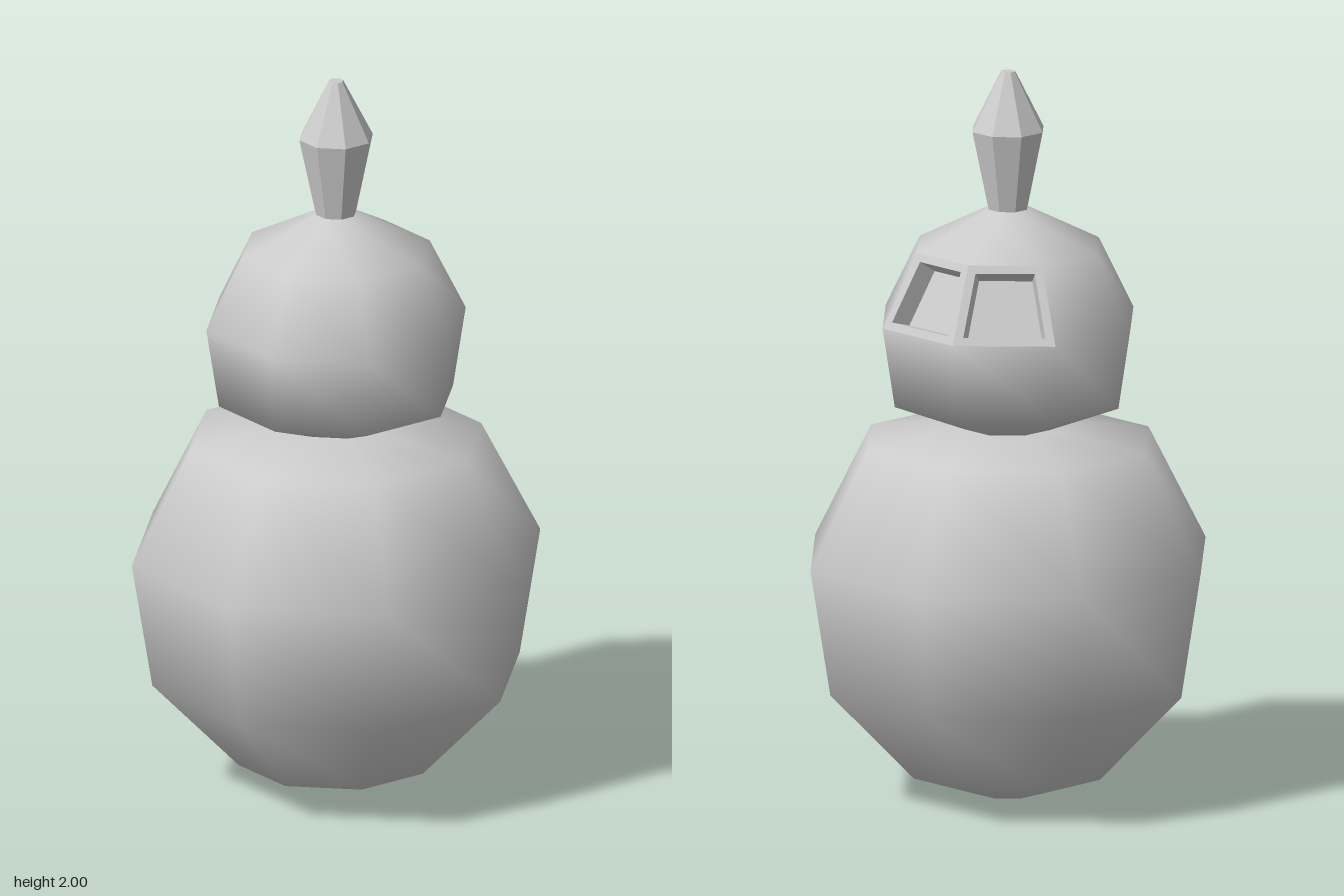
import * as THREE from 'three';

const SIDES = 8;
const smooth = new THREE.MeshStandardMaterial({ color: 0xcccccc });
const flat = new THREE.MeshStandardMaterial({ color: 0xcccccc, flatShading: true });

// [radius, height] profiles, from bottom to top
const BODY = [[0, 0], [0.09, 0.012], [0.27, 0.07], [0.51, 0.32], [0.567, 0.667], [0.403, 0.985], [0.12, 1.022], [0, 1.022]];
const HEAD = [[0, 1.015], [0.12, 1.02], [0.325, 1.1], [0.36, 1.32], [0.26, 1.52], [0.06, 1.622], [0, 1.63]];
const STEM = [[0, 1.62], [0.055, 1.62], [0.102, 1.84], [0.02, 2], [0, 2]];
const EYE_ROW = 3; // head band that carries the eye sockets
const EYE_SECTORS = [3, 4]; // the two sectors either side of -z

function lathe(profile) {
  return new THREE.LatheGeometry(profile.map(([r, y]) => new THREE.Vector2(r, y)), SIDES);
}

function part(name, geometry, material) {
  const mesh = new THREE.Mesh(geometry, material);
  mesh.name = name;
  return mesh;
}

// Head shell with the eye facets left out
function headGeometry() {
  const geometry = lathe(HEAD);
  const bands = HEAD.length - 1;
  const index = Array.from(geometry.index.array).filter((_, k) => {
    const quad = Math.floor(k / 6);
    return !(quad % bands === EYE_ROW && EYE_SECTORS.includes(Math.floor(quad / bands)));
  });
  geometry.setIndex(index);
  return geometry;
}

// Frame, recessed walls and floor filling one facet of the head
function socketGeometry(sector) {
  const corner = (s, row) => {
    const a = (s / SIDES) * Math.PI * 2;
    const [r, y] = HEAD[row];
    return new THREE.Vector3(r * Math.sin(a), y, r * Math.cos(a));
  };
  const outer = [
    corner(sector, EYE_ROW), corner(sector + 1, EYE_ROW),
    corner(sector + 1, EYE_ROW + 1), corner(sector, EYE_ROW + 1),
  ];
  const centre = outer.reduce((sum, p) => sum.add(p), new THREE.Vector3()).divideScalar(4);
  const normal = outer[1].clone().sub(outer[0]).cross(outer[3].clone().sub(outer[0])).normalize();
  const inset = (scale, depth) => outer.map((p) =>
    p.clone().sub(centre).multiplyScalar(scale).add(centre).addScaledVector(normal, -depth));
  const rings = [outer, inset(0.8, 0), inset(0.72, 0.055)];

  const points = [];
  const quad = (a, b, c, d) => points.push(a, b, c, a, c, d);
  for (let k = 0; k < 2; k++) {
    for (let i = 0; i < 4; i++) {
      const j = (i + 1) % 4;
      quad(rings[k][i], rings[k][j], rings[k + 1][j], rings[k + 1][i]);
    }
  }
  quad(...rings[2]);
  const geometry = new THREE.BufferGeometry().setFromPoints(points);
  geometry.computeVertexNormals();
  return geometry;
}

export function createModel() {
  const model = new THREE.Group();
  model.name = 'figure';
  model.add(part('body', lathe(BODY), smooth));
  model.add(part('head', headGeometry(), smooth));
  EYE_SECTORS.forEach((sector, i) =>
    model.add(part(i === 0 ? 'leftEyeSocket' : 'rightEyeSocket', socketGeometry(sector), flat)));
  model.add(part('topStem', lathe(STEM), flat));
  return model;
}
